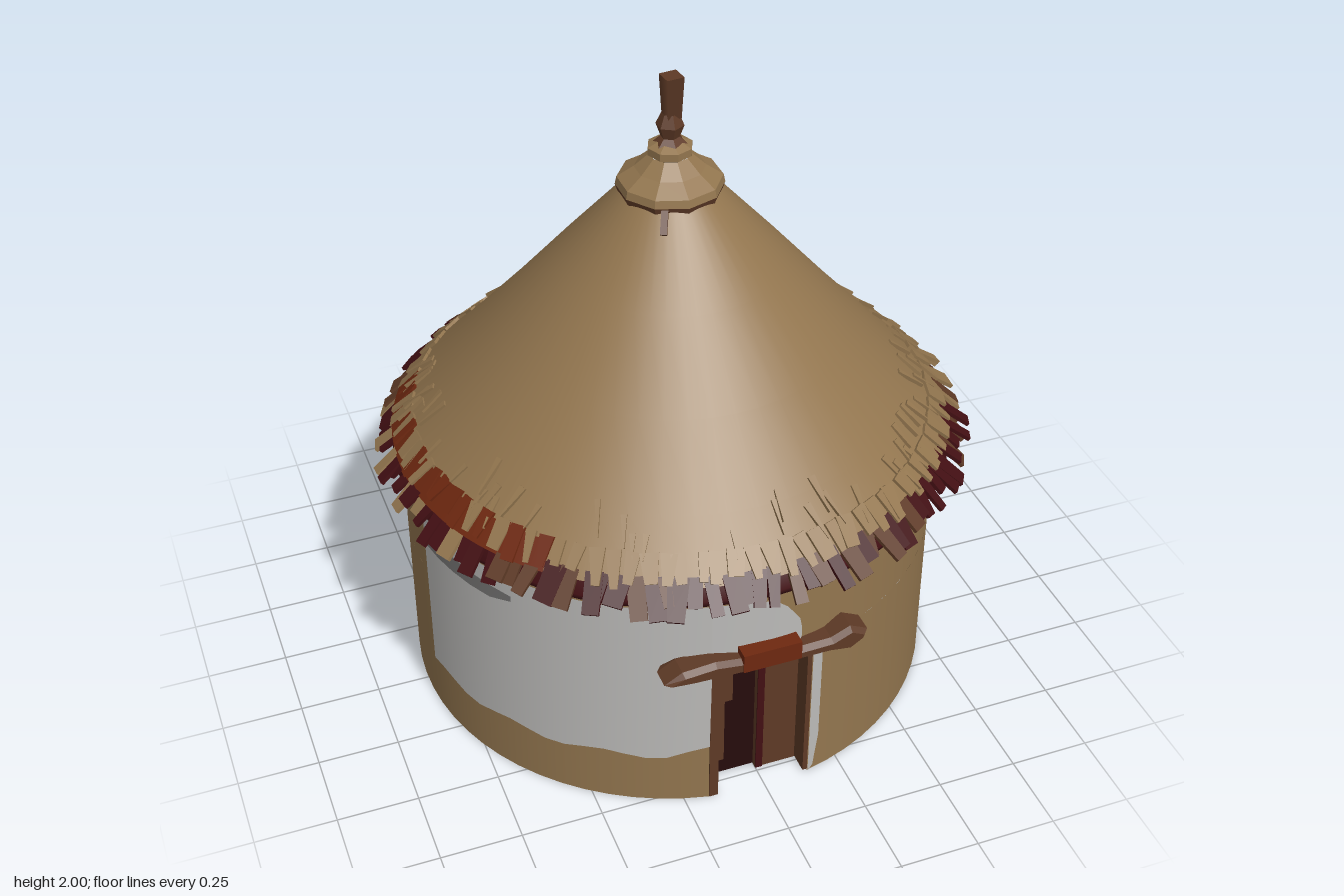
import * as THREE from 'three';
import { mergeGeometries } from 'three/addons/utils/BufferGeometryUtils.js';

const mat = (name, color, side = THREE.FrontSide) =>
  Object.assign(new THREE.MeshStandardMaterial({ color, side }), { name });

const M = {
  tan: mat('thatch and clay tan', 0x93764f, THREE.DoubleSide),
  brown: mat('wood brown', 0x5e3a26),
  maroon: mat('dark maroon', 0x420f13, THREE.DoubleSide),
  rust: mat('rust red', 0x6e2810, THREE.DoubleSide),
  dark: mat('door shadow', 0x260c0c),
  white: mat('plaster white', 0xbbbab8, THREE.DoubleSide),
  grey: mat('plaster grey', 0x757473, THREE.DoubleSide),
  base: mat('base black', 0x222222),
};

const R = 0.828, DOOR_TOP = 0.53, RIGHT = 0.185, LEFT = 0.205;
const DEG = Math.PI / 180;

// Seeded random numbers
let seed = 7;
const rnd = (a = 0, b = 1) => {
  seed = (seed * 16807) % 2147483647;
  return a + (b - a) * seed / 2147483647;
};

function add(parent, name, geo, material) {
  const m = new THREE.Mesh(geo, material);
  m.name = name;
  parent.add(m);
  return m;
}

// Box given by its limits
function block(parent, name, material, x0, x1, y0, y1, z0, z1) {
  const g = new THREE.BoxGeometry(x1 - x0, y1 - y0, z1 - z0);
  g.translate((x0 + x1) / 2, (y0 + y1) / 2, (z0 + z1) / 2);
  return add(parent, name, g, material);
}

const lathe = (pts, n, start = 0, length = Math.PI * 2) =>
  new THREE.LatheGeometry(pts.map(p => new THREE.Vector2(...p)), n, start, length);

// Thin paint on the round wall: columns of [azimuth, bottom, top]
function wallPaint(cols, r) {
  const pos = [], idx = [];
  cols.forEach(([a, y0, y1], i) => {
    for (const y of [y0, y1]) pos.push(Math.sin(a) * r, y, Math.cos(a) * r);
    const k = 2 * i;
    if (i) idx.push(k - 2, k, k + 1, k - 2, k + 1, k - 1);
  });
  const g = new THREE.BufferGeometry();
  g.setAttribute('position', new THREE.Float32BufferAttribute(pos, 3));
  g.setIndex(idx);
  g.computeVertexNormals();
  return g;
}

// One strip of thatch hanging down the slope from (r, y) at an azimuth
function strip(az, r, y, w, len, t, tilt, roll, tip = 1) {
  const g = new THREE.BoxGeometry(w, len, t);
  g.translate(0, -len / 2, 0);
  const p = g.attributes.position;
  for (let i = 0; i < p.count; i++) if (p.getY(i) < -len / 2) p.setX(i, p.getX(i) * tip);
  g.computeVertexNormals();
  return g.rotateZ(roll).rotateX(-tilt).translate(0, y, r).rotateY(az);
}

// Choice of colours for the rim strips around the roof
function rimColours(d) {
  if (d < -145) return ['brown', 'tan', 'maroon'];
  if (d < -115) return ['maroon', 'maroon', 'brown'];
  if (d < -60) return ['maroon', 'tan', 'maroon'];
  if (d < -20) return ['maroon', 'maroon', 'brown'];
  if (d < 55) return ['maroon', 'maroon', 'maroon', 'brown'];
  if (d < 75) return ['brown', 'maroon'];
  if (d < 125) return ['tan', 'brown', 'tan'];
  if (d < 150) return ['maroon', 'maroon', 'brown'];
  return ['brown', 'tan', 'brown'];
}

function buildWalls() {
  const g = new THREE.Group();
  g.name = 'walls';
  g.position.set(-0.008, 0, -0.012);
  const lower = new THREE.CylinderGeometry(R, R, DOOR_TOP, 64, 1, true, RIGHT, Math.PI * 2 - RIGHT - LEFT);
  add(g, 'lowerWall', lower.translate(0, DOOR_TOP / 2, 0), M.tan);
  const upper = new THREE.CylinderGeometry(R - 0.004, R, 0.31, 64, 1, true);
  add(g, 'upperWall', upper.translate(0, DOOR_TOP + 0.155, 0), M.tan);

  // Floor disc with the doorway cut out
  const floor = new THREE.Shape();
  floor.absarc(0, 0, R, Math.PI / 2 + LEFT, Math.PI * 2.5 - RIGHT, false);
  floor.lineTo(0.152, 0.73);
  floor.lineTo(-0.168, 0.73);
  add(g, 'floor', new THREE.ShapeGeometry(floor, 64).rotateX(Math.PI / 2).translate(0, 0.001, 0), M.base);

  // Plaster patches
  const cols = [];
  for (let i = 0; i <= 16; i++) {
    const a = -1.42 + (1.42 - LEFT) * i / 16;
    cols.push([a, 0.185 + 0.01 * Math.sin(i * 1.3) + (i > 14 ? 0.01 * (i - 14) : 0), 0.765]);
  }
  cols.push([-0.2, DOOR_TOP, 0.765], [-0.1, DOOR_TOP, 0.76], [0.02, DOOR_TOP, 0.745],
    [0.07, DOOR_TOP, 0.71], [0.12, 0.55, 0.65], [0.13, 0.58, 0.61]);
  add(g, 'plaster', wallPaint(cols, R + 0.005), M.white);
  add(g, 'doorSidePlaster', wallPaint([[RIGHT, 0, 0.55], [0.205, 0.02, 0.55], [0.225, 0.14, 0.52]], R + 0.004), M.white);
  const stain = [];
  for (let i = 0; i <= 5; i++) stain.push([-1.4 + i * 0.095, 0.66 + (i > 4 ? 0.02 : 0), 0.73 - i * 0.006]);
  add(g, 'plasterStain', wallPaint(stain, R + 0.009), M.grey);
  return g;
}

function buildDoor() {
  const g = new THREE.Group();
  g.name = 'door';
  block(g, 'doorBack', M.dark, -0.17, 0.147, 0, 0.54, 0.69, 0.715);
  block(g, 'leftPlank', M.brown, 0, 0.13, 0, 0.53, 0.715, 0.735);
  block(g, 'plankGap', M.maroon, 0, 0.022, 0, 0.53, 0.735, 0.739);
  block(g, 'rightPlankTop', M.brown, -0.14, -0.075, 0.3, 0.53, 0.715, 0.725);
  block(g, 'rightPlankEdge', M.brown, -0.14, -0.1, 0.06, 0.3, 0.715, 0.725);
  block(g, 'rightJamb', M.brown, -0.175, -0.147, 0, 0.54, 0.69, 0.8);
  block(g, 'leftJamb', M.brown, 0.132, 0.147, 0, 0.54, 0.69, 0.797);
  block(g, 'soffit', M.brown, -0.175, 0.147, 0.525, 0.54, 0.69, 0.81);

  // Rough lintel beam
  const s = new THREE.Shape([[-0.335, 0.55], [-0.25, 0.535], [0.02, 0.525], [0.17, 0.525], [0.24, 0.515],
    [0.285, 0.545], [0.295, 0.57], [0.24, 0.597], [0.18, 0.57], [0, 0.565], [-0.18, 0.59], [-0.28, 0.582]]
    .map(p => new THREE.Vector2(...p)));
  const beam = new THREE.ExtrudeGeometry(s, { depth: 0.06, bevelSize: 0.012, bevelThickness: 0.018, bevelOffset: -0.012, bevelSegments: 1 });
  add(g, 'lintel', beam.translate(0, 0, 0.782), M.brown);
  block(g, 'lintelPaint', M.rust, -0.1, 0.08, 0.54, 0.602, 0.79, 0.864);
  return g;
}

function buildRoof() {
  const g = new THREE.Group();
  g.name = 'roof';
  g.position.set(0.002, 0, -0.012);
  add(g, 'thatchCone', lathe([[0.855, 0.855], [0.8, 0.915], [0.715, 1.0], [0.535, 1.2], [0.345, 1.42], [0.14, 1.65]], 48), M.tan);
  add(g, 'eaveSkirt', lathe([[0.8, 0.755], [0.855, 0.785], [0.865, 0.81], [0.835, 0.865]], 48), M.maroon);
  add(g, 'rustBand', lathe([[0.862, 0.857], [0.8, 0.922]], 20, -118 * DEG, 73 * DEG), M.rust);

  // Ragged rim strips, grouped by colour
  const rim = { tan: [], brown: [], maroon: [], rust: [] };
  for (let i = 0; i < 120; i++) {
    const d = -180 + i * 3 + rnd(-1, 1);
    const choice = rimColours(d);
    rim[choice[Math.floor(rnd(0, choice.length))]].push(
      strip(d * DEG, 0.83, 0.875, rnd(0.035, 0.065), rnd(0.08, 0.135), 0.012, rnd(0.68, 0.95), rnd(-0.2, 0.2), rnd(0.7, 1.1)));
  }
  // Upper layer of short strips over the rim
  for (let i = 0; i < 100; i++) {
    const d = -180 + i * 3.6 + rnd(-1, 1);
    const rusty = d > -118 && d < -45 && rnd() < 0.6;
    rim[rusty ? 'rust' : 'tan'].push(
      strip(d * DEG, 0.79, 0.93, rnd(0.03, 0.06), rnd(0.075, 0.11), 0.01, rnd(0.74, 0.84), rnd(-0.2, 0.2), rnd(0.4, 0.9)));
  }
  // Loose pointed straws on the slope
  for (let i = 0; i < 80; i++) {
    const y = rnd(0.95, 1.03);
    rim.tan.push(strip(rnd(-180, 180) * DEG, 0.715 + (1 - y) * 0.95, y, rnd(0.012, 0.025),
      rnd(0.07, 0.12), 0.012, rnd(0.78, 0.9), rnd(-0.25, 0.25), 0.15));
  }
  for (const key in rim) add(g, key + 'RimStrips', mergeGeometries(rim[key]), M[key]);
  return g;
}

function buildFinial() {
  const g = new THREE.Group();
  g.name = 'finial';
  g.position.set(0.002, 0, -0.015);
  const flat = (name, pts, n, m) => add(g, name, lathe(pts, n).toNonIndexed(), m).geometry.computeVertexNormals();
  flat('collarBand', [[0.13, 1.632], [0.153, 1.636], [0.16, 1.658]], 10, M.brown);
  flat('collar', [[0.16, 1.658], [0.155, 1.682], [0.105, 1.715], [0.06, 1.755]], 10, M.tan);
  flat('ring', [[0.055, 1.752], [0.068, 1.76], [0.068, 1.783], [0.03, 1.8]], 8, M.tan);
  flat('knob', [[0.05, 1.79], [0.028, 1.81], [0.042, 1.848], [0.025, 1.885]], 6, M.brown);
  const pole = new THREE.CylinderGeometry(0.038, 0.03, 0.13, 4).rotateY(0.9);
  add(g, 'pole', pole.translate(0.005, 1.935, 0), M.brown);
  // Small peg below the collar
  add(g, 'peg', strip(-0.45, 0.15, 1.65, 0.02, 0.07, 0.02, 0.72, 0), M.brown);
  return g;
}

export function createModel() {
  seed = 7;
  const hut = new THREE.Group();
  hut.name = 'roundHut';
  hut.add(buildWalls(), buildDoor(), buildRoof(), buildFinial());
  return hut;
}
